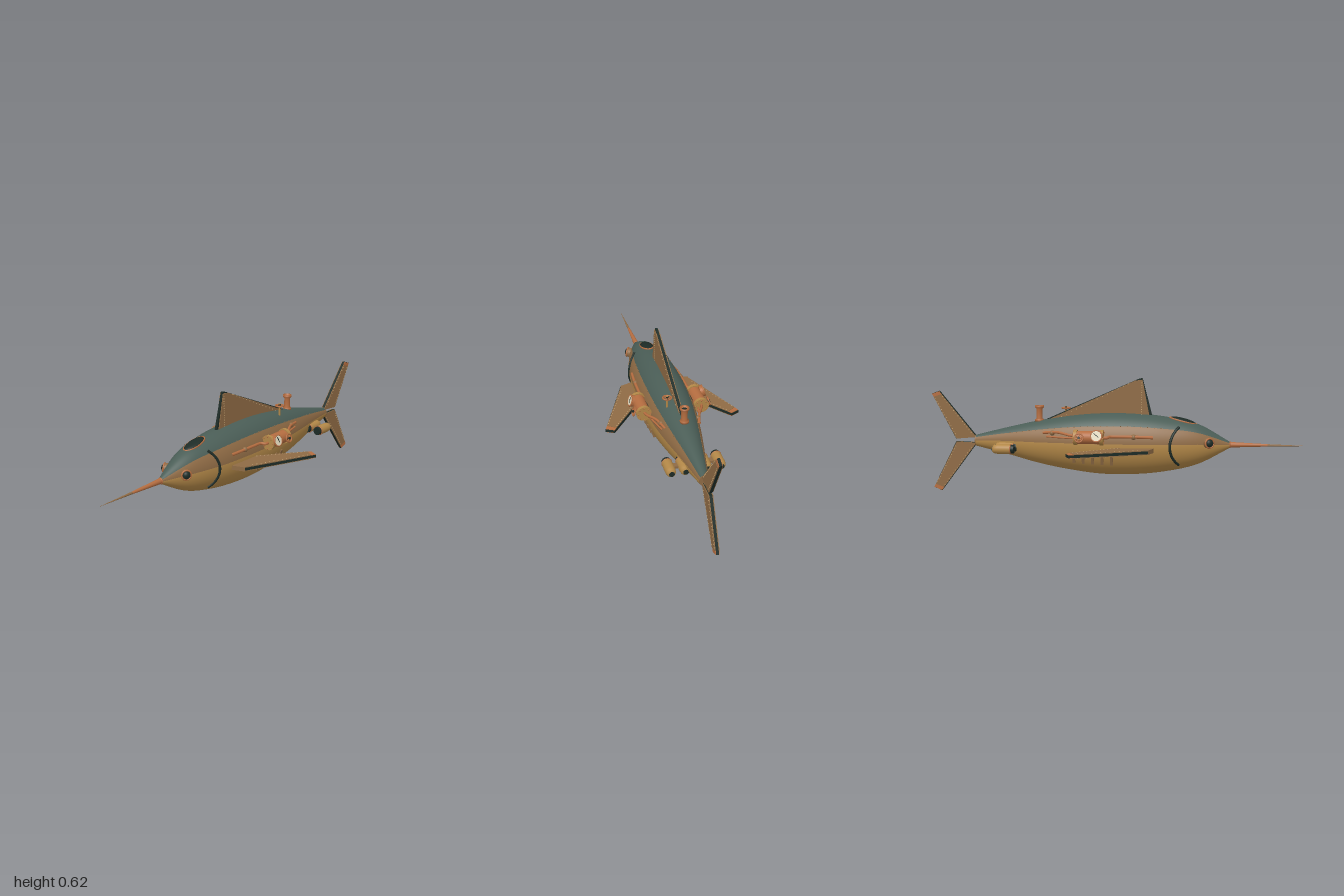
import * as THREE from 'three';
import { mergeGeometries } from 'three/addons/utils/BufferGeometryUtils.js';

const V = (x, y, z) => new THREE.Vector3(x, y, z);
const paint = (name, color) => {
  const m = new THREE.MeshStandardMaterial({ color });
  m.name = name;
  return m;
};

export function createModel() {
  const slate = paint('slate green', 0x4a5d56), iron = paint('dark iron', 0x1d2b26);
  const brown = paint('brown bronze', 0x8f6b45), gold = paint('brass', 0xb38848);
  const copper = paint('copper', 0xb56d40), tan = paint('rivet tan', 0xc4a473);
  const cream = paint('dial cream', 0xe6dcc0);
  const model = new THREE.Group();
  model.name = 'fishSubmarine';

  const add = (parent, name, geo, mat, x = 0, y = 0, z = 0) => {
    const m = new THREE.Mesh(geo, mat);
    m.name = name;
    m.position.set(x, y, z);
    parent.add(m);
    return m;
  };
  const group = (parent, name, x = 0, y = 0, z = 0) => {
    const g = new THREE.Group();
    g.name = name;
    g.position.set(x, y, z);
    parent.add(g);
    return g;
  };
  const aim = (obj, dir) => obj.quaternion.setFromUnitVectors(V(0, 0, 1), dir.normalize());
  const cylZ = (r1, r2, len, n = 24) => new THREE.CylinderGeometry(r1, r2, len, n).rotateX(Math.PI / 2);
  const tube = (pts, r, n = 40) => new THREE.TubeGeometry(new THREE.CatmullRomCurve3(pts), n, r, 8);
  const rivets = (parent, name, pts, r = 0.0032, mat = tan) =>
    add(parent, name, mergeGeometries(pts.map(p => new THREE.SphereGeometry(r, 6, 4).translate(p.x, p.y, p.z))), mat);

  // Hull stations, evenly spaced from nose to tail: half width, top, bottom
  const Z0 = 0.6, Z1 = -0.76;
  const stations = new THREE.CatmullRomCurve3([
    [0.014, 0.292, 0.265], [0.083, 0.385, 0.175], [0.118, 0.422, 0.133], [0.13, 0.438, 0.114],
    [0.13, 0.438, 0.113], [0.118, 0.422, 0.133], [0.092, 0.392, 0.165], [0.058, 0.353, 0.21], [0.025, 0.31, 0.25],
  ].map(p => V(...p)), false, 'catmullrom', 0.5);
  const hull = (z, deg, lift = 0) => {
    const s = stations.getPoint((Z0 - z) / (Z0 - Z1)), a = THREE.MathUtils.degToRad(deg);
    return V((s.x + lift) * Math.cos(a), (s.y + s.z) / 2 + ((s.y - s.z) / 2 + lift) * Math.sin(a), z);
  };

  // Hull skin: slate back, brown flank, brass belly
  const N = 72, R = 56, pos = [], idx = [[], [], []];
  for (let i = 0; i <= R; i++)
    for (let j = 0; j < N; j++) pos.push(...hull(Z0 + (Z1 - Z0) * i / R, j * 360 / N).toArray());
  for (let j = 0; j < N; j++) {
    const a = (j + 0.5) * Math.PI * 2 / N;
    const e = THREE.MathUtils.radToDeg(Math.atan2(Math.sin(a), Math.abs(Math.cos(a))));
    const band = e > 40 ? 0 : e > 5 ? 1 : 2;
    for (let i = 0; i < R; i++) {
      const p = i * N + j, q = i * N + (j + 1) % N;
      idx[band].push(p, p + N, q, q, p + N, q + N);
    }
  }
  const skin = new THREE.BufferGeometry();
  skin.setAttribute('position', new THREE.Float32BufferAttribute(pos, 3));
  skin.setIndex(idx.flat());
  let start = 0;
  idx.forEach((l, k) => { skin.addGroup(start, l.length, k); start += l.length; });
  skin.computeVertexNormals();
  add(model, 'hull', skin, [slate, brown, gold]);
  add(model, 'tailCap', cylZ(0.025, 0.025, 0.008), brown, 0, 0.28, -0.76).scale.y = 1.2;

  // Bill
  add(model, 'billBase', cylZ(0.0065, 0.015, 0.2, 16), copper, 0, 0.279, 0.69);
  add(model, 'billTip', cylZ(0.0004, 0.0065, 0.21, 16), brown, 0, 0.279, 0.895);
  add(model, 'billCollar', new THREE.TorusGeometry(0.0135, 0.004, 8, 24), copper, 0, 0.279, 0.597);

  // Fins: iron core, bronze plates, copper tip; corners are rootLead, tipLead, tipTrail, rootTrail
  const fin = (name, c, turn, center, cap = true) => {
    const g = group(model, name, ...center);
    const P = c.map(p => new THREE.Vector2(...p));
    const at = (u, v) => P[0].clone().lerp(P[1], u).lerp(P[3].clone().lerp(P[2], u), v);
    const slab = (u0, u1, v0, v1, t) => turn(new THREE.ExtrudeGeometry(
      new THREE.Shape([at(u0, v0), at(u1, v0), at(u1, v1), at(u0, v1)]),
      { depth: t, bevelEnabled: false }).translate(0, 0, -t / 2));
    add(g, 'finCore', slab(0, 1, 0, 1, 0.014), iron);
    add(g, 'finPlates', slab(0, cap ? 0.93 : 0.96, 0.025, 0.975, 0.023), brown);
    if (cap) add(g, 'finTip', slab(0.93, 0.995, 0.02, 0.98, 0.02), copper);
    const pts = [];
    for (const v of [0.1, 0.9])
      for (let k = 0; k < 14; k++)
        for (const t of [-0.0115, 0.0115]) {
          const p = at(0.1 + k * 0.06, v);
          pts.push(V(p.x, p.y, t));
        }
    const dots = mergeGeometries(pts.map(p => new THREE.SphereGeometry(0.003, 6, 4).translate(p.x, p.y, p.z)));
    add(g, 'finRivets', turn(dots), tan);
  };
  const upright = g => g.rotateY(-Math.PI / 2), flat = g => g.rotateX(Math.PI / 2);
  fin('dorsalFin', [[0.19, 0.415], [0.135, 0.625], [0.115, 0.62], [-0.4, 0.39]], upright, [0, 0, 0], false);
  fin('upperTailFin', [[-0.755, 0.298], [-0.957, 0.545], [-0.998, 0.53], [-0.87, 0.288]], upright, [0, 0, 0]);
  fin('lowerTailFin', [[-0.755, 0.268], [-0.955, 0.002], [-0.998, 0.02], [-0.87, 0.272]], upright, [0, 0, 0]);
  for (const s of [1, -1])
    fin(s > 0 ? 'leftFin' : 'rightFin',
      [[s * 0.1, 0.215], [s * 0.2, 0.175], [s * 0.2, -0.065], [s * 0.09, 0.05]].map((p, i) =>
        i === 1 ? [s * 0.355, -0.205] : i === 2 ? [s * 0.312, -0.226] : i === 0 ? [s * 0.19, 0.18] : [s * 0.11, 0.03]),
      flat, [0, 0.26, 0]);
  for (const s of [1, -1]) {
    // Shoulder where the side fin meets the hull
    const shoulder = new THREE.Shape([[0.1, 0.21], [0.135, 0.2], [0.19, 0.18], [0.11, 0.03]].map(p => new THREE.Vector2(s * p[0], p[1])));
    const geo = t => flat(new THREE.ExtrudeGeometry(shoulder, { depth: t, bevelEnabled: false }).translate(0, 0, -t / 2));
    add(model, 'finShoulder', geo(0.0228), brown, 0, 0.26, 0);
  }

  // Top hatch window
  const hatch = group(model, 'topWindow', 0, 0.402, 0.35);
  hatch.rotation.x = 0.24;
  const glass = add(hatch, 'windowGlass', new THREE.SphereGeometry(1, 28, 14), iron);
  glass.scale.set(0.034, 0.014, 0.07);
  const rim = add(hatch, 'windowRim', new THREE.TorusGeometry(1, 0.09, 8, 36).rotateX(Math.PI / 2), copper);
  rim.scale.set(0.034, 0.05, 0.07);

  // Hand wheel facing +z
  const wheel = (parent, name, r) => {
    const g = group(parent, name);
    add(g, 'wheelRim', new THREE.TorusGeometry(r, r * 0.17, 8, 24), copper);
    for (let k = 0; k < 3; k++)
      add(g, 'wheelSpoke', new THREE.BoxGeometry(r * 2, r * 0.18, r * 0.18), copper).rotation.z = k * Math.PI / 3;
    add(g, 'wheelHub', cylZ(r * 0.3, r * 0.3, r * 0.7, 12), iron);
    return g;
  };

  // Funnel and deck valve
  const funnel = [[0, 0], [0.023, 0], [0.023, 0.012], [0.016, 0.016], [0.016, 0.068], [0.024, 0.076], [0.024, 0.086], [0.017, 0.086], [0.014, 0.07], [0, 0.07]];
  add(model, 'funnel', new THREE.LatheGeometry(funnel.map(p => new THREE.Vector2(...p)), 24), copper, 0, 0.387, -0.415);
  add(model, 'funnelMouth', new THREE.CylinderGeometry(0.0155, 0.0155, 0.004, 20), iron, 0, 0.461, -0.415);
  add(model, 'valveStem', new THREE.CylinderGeometry(0.005, 0.006, 0.08, 10), gold, 0.052, 0.425, -0.28);
  const deckWheel = wheel(model, 'deckWheel', 0.022);
  deckWheel.position.set(0.052, 0.455, -0.28);
  deckWheel.rotation.x = -Math.PI / 2;

  for (const s of [1, -1]) {
    const side = group(model, s > 0 ? 'leftFittings' : 'rightFittings');
    const on = (z, deg, lift) => { const p = hull(z, deg, lift); p.x *= s; return p; };

    // Porthole eye
    const eye = group(side, 'eye', s * 0.066, 0.295, 0.485);
    aim(eye, V(s * 0.85, 0.08, 0.5));
    add(eye, 'eyeSocket', cylZ(0.025, 0.027, 0.026), brown);
    add(eye, 'eyeRing', new THREE.TorusGeometry(0.024, 0.0045, 8, 28), copper, 0, 0, 0.012);
    add(eye, 'eyeLens', new THREE.SphereGeometry(0.021, 20, 12), iron, 0, 0, 0.011).scale.z = 0.75;

    // Gill band
    const gill = [];
    for (let k = 0; k <= 12; k++) {
      const d = -48 + k * 8;
      gill.push(on(0.335 - 0.048 * Math.cos(d * Math.PI / 100), d, 0.002));
    }
    add(side, 'gillBand', tube(gill, 0.007), iron);

    // Belly louvres
    for (let k = 0; k < 5; k++) {
      const z = -0.015 - k * 0.05, p = on(z, -26, 0.001);
      add(side, 'louvre', new THREE.BoxGeometry(0.012, 0.05, 0.014), brown, p.x, p.y, z).rotation.z = -s * 0.32;
    }

    // Flank seam rivets
    const seam = [];
    for (let k = 0; k < 24; k++) seam.push(on(0.24 - k * 0.035, 40, 0));
    rivets(side, 'seamRivets', seam, 0.0025, brown);

    // Steam pump
    const pump = group(side, 'pump', s * 0.152, 0.328, -0.13);
    add(pump, 'pumpBarrel', cylZ(0.034, 0.034, 0.15), copper);
    for (const z of [-0.068, 0.068]) {
      add(pump, 'pumpFlange', cylZ(0.04, 0.04, 0.018), gold, 0, 0, z);
      const bolts = [];
      for (let k = 0; k < 8; k++)
        bolts.push(V(0.032 * Math.cos(k * Math.PI / 4), 0.032 * Math.sin(k * Math.PI / 4), z * 1.14));
      rivets(pump, 'flangeBolts', bolts, 0.004, copper);
    }
    add(pump, 'pumpBracket', new THREE.BoxGeometry(0.05, 0.02, 0.05), iron, -s * 0.035, 0, 0);

    // Pressure gauge
    const gauge = group(pump, 'gauge', s * 0.036, 0.012, 0.045);
    aim(gauge, V(s * 0.95, 0.28, 0));
    add(gauge, 'gaugeCase', cylZ(0.03, 0.03, 0.018, 28), copper);
    add(gauge, 'gaugeBezel', new THREE.TorusGeometry(0.029, 0.004, 8, 28), copper, 0, 0, 0.009);
    add(gauge, 'gaugeDial', cylZ(0.026, 0.026, 0.003, 28), cream, 0, 0, 0.01);
    add(gauge, 'gaugeNeedle', new THREE.BoxGeometry(0.004, 0.032, 0.002), iron, 0, 0.004, 0.012).rotation.z = 0.6;

    // Pump hand wheel
    add(pump, 'wheelStem', cylZ(0.005, 0.005, 0.03, 10).rotateY(Math.PI / 2), gold, s * 0.035, 0, -0.045);
    const w = wheel(pump, 'pumpWheel', 0.022);
    w.position.set(s * 0.047, 0.004, -0.045);
    aim(w, V(s * 0.95, 0.28, 0));

    // Steam pipes
    add(side, 'frontPipe', tube([V(s * 0.152, 0.328, -0.06), V(s * 0.152, 0.328, -0.035), V(s * 0.132, 0.33, -0.02),
      on(0.03, 19, 0.005), on(0.11, 19, 0.005), on(0.2, 19, 0.002)], 0.008), copper);
    add(side, 'rearPipe', tube([V(s * 0.152, 0.335, -0.2), V(s * 0.145, 0.337, -0.23), on(-0.3, 27, 0.014), on(-0.38, 30, 0.002)], 0.007), copper);
    add(side, 'lowerRearPipe', tube([V(s * 0.135, 0.32, -0.2), on(-0.26, 16, 0.01), on(-0.36, 20, 0.002)], 0.005), copper);
    for (const z of [0.1, -0.33])
      add(side, 'pipeClamp', new THREE.SphereGeometry(0.014, 12, 8), brown, ...on(z, z > 0 ? 19 : 28, 0.002).toArray());

    // Paired thrusters
    for (const x of [0.055, 0.125]) {
      const pod = group(side, 'thruster', s * x, 0.255, -0.585);
      const shape = [[0, -0.058], [0.016, -0.058], [0.023, -0.048], [0.026, -0.03], [0.026, 0.035], [0.024, 0.04], [0, 0.04]];
      add(pod, 'thrusterCasing', new THREE.LatheGeometry(shape.map(p => new THREE.Vector2(...p)), 24).rotateX(Math.PI / 2), gold);
      add(pod, 'thrusterIntake', cylZ(0.022, 0.024, 0.018), iron, 0, 0, 0.047);
      add(pod, 'thrusterRing', new THREE.TorusGeometry(0.0245, 0.003, 8, 24), copper, 0, 0, 0.038);
      add(pod, 'thrusterNozzle', cylZ(0.014, 0.014, 0.006), iron, 0, 0, -0.057);
    }
    add(side, 'thrusterStrut', new THREE.BoxGeometry(0.09, 0.012, 0.03), brown, s * 0.085, 0.255, -0.58);
  }
  return model;
}
